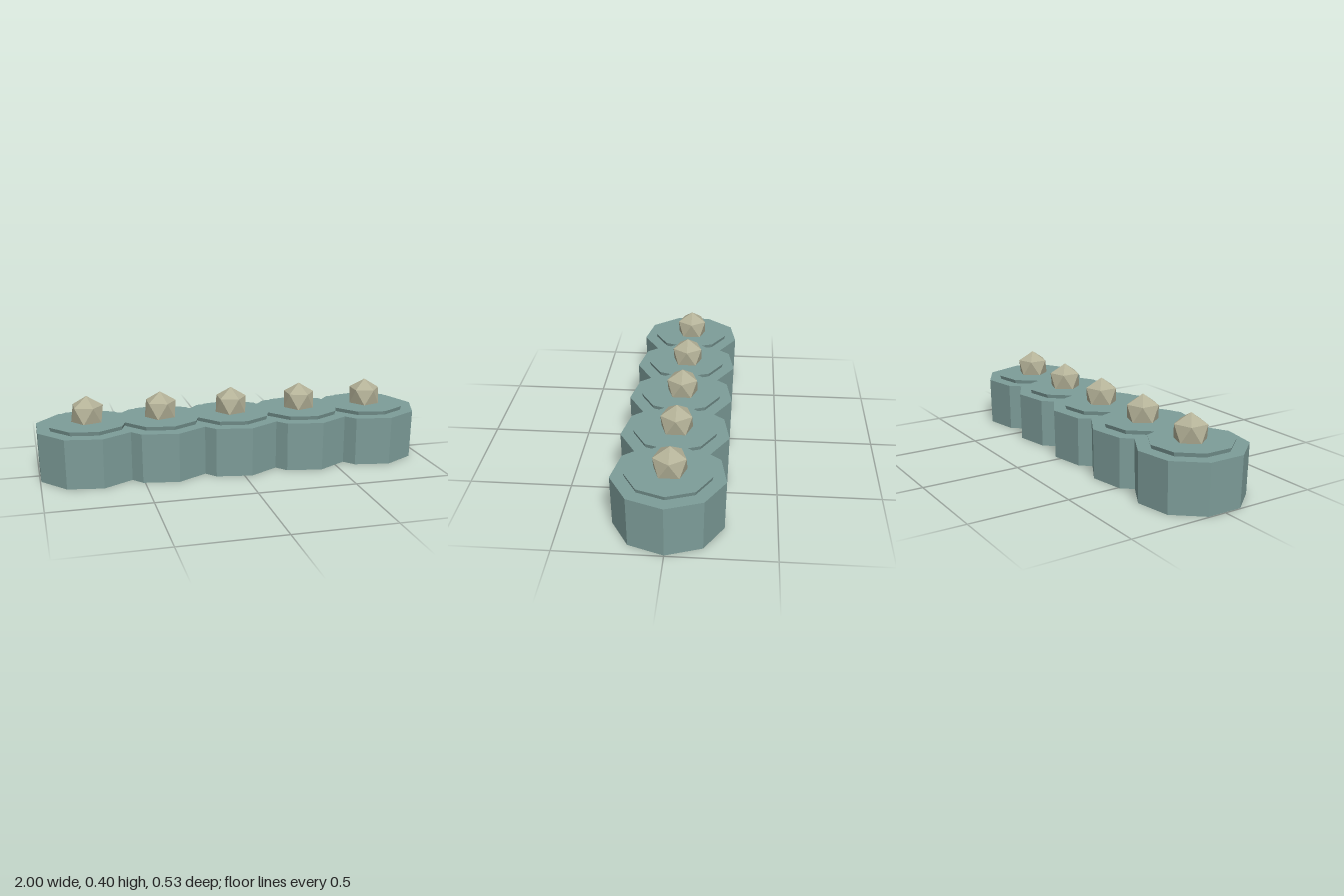
import * as THREE from 'three';

const COUNT = 5;
const FIRST_X = -0.749;
const SPACING = 0.3705;

// Nine-sided drum with one corner pointing along +x
function drum(topRadius, bottomRadius, y0, y1) {
  const g = new THREE.CylinderGeometry(topRadius, bottomRadius, y1 - y0, 9, 1, false, Math.PI / 2);
  g.translate(0, (y0 + y1) / 2, 0);
  return g;
}

export function createModel() {
  const teal = new THREE.MeshStandardMaterial({ color: 0x7d9d99, flatShading: true });
  teal.name = 'greyTeal';
  const stone = new THREE.MeshStandardMaterial({ color: 0xb4b298, flatShading: true });
  stone.name = 'paleKhaki';

  const baseGeometry = drum(0.267, 0.262, 0, 0.25);
  const plateGeometry = drum(0.206, 0.2, 0.25, 0.27);

  // Icosahedron turned to stand on a corner, upper ring corner towards +x
  const knobGeometry = new THREE.IcosahedronGeometry(0.09, 0);
  knobGeometry.rotateZ(-Math.atan(2 / (1 + Math.sqrt(5))));

  const model = new THREE.Group();
  model.name = 'knobbedBar';

  // Row of overlapping segments, each a base, a raised plate and a knob
  for (let i = 0; i < COUNT; i++) {
    const segment = new THREE.Group();
    segment.name = `segment${i + 1}`;
    segment.position.x = FIRST_X + i * SPACING;

    const base = new THREE.Mesh(baseGeometry, teal);
    base.name = 'base';
    const plate = new THREE.Mesh(plateGeometry, teal);
    plate.name = 'raisedPlate';
    const knob = new THREE.Mesh(knobGeometry, stone);
    knob.name = 'knob';
    knob.position.set(0, 0.308, -0.006);

    segment.add(base, plate, knob);
    model.add(segment);
  }
  return model;
}
